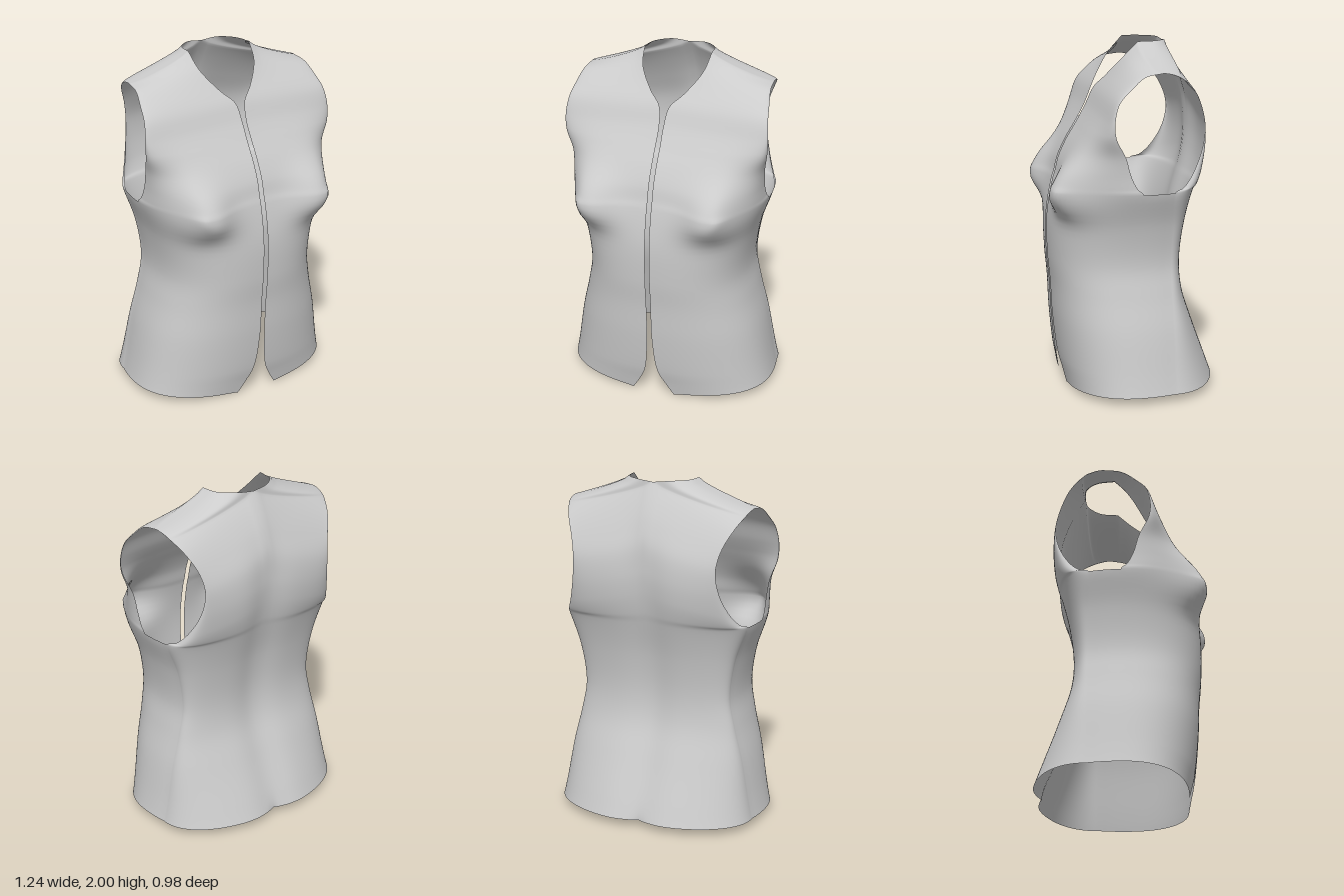
import * as THREE from 'three';
import { mergeVertices } from 'three/addons/utils/BufferGeometryUtils.js';

const { lerp, smoothstep } = THREE.MathUtils;
const STEPS = 6;    // samples between profile points
const ACROSS = 36;  // samples from centre edge to side

// Waist profile: height, half width, front depth, back depth
const body = [
  [.05, .622, .37, -.5], [.09, .613, .385, -.485], [.17, .597, .405, -.455], [.4, .555, .43, -.365],
  [.6, .505, .44, -.295], [.77, .475, .455, -.278], [1, .505, .455, -.303], [1.2, .57, .42, -.352],
];
// The front corners of the hem dip and curve away from the opening
const openingLine = body.map(([y, , front]) => [
  .013 + .115 * Math.exp((.05 - y) / .08), y - .045 * Math.exp((.05 - y) / .03), front,
]);
const frontSeam = body.map(([y, w]) => [w, y, 0]);
const backSeam = body.map(([y, w]) => [w - .022, y, -.17]);
const spineLine = body.map(([y, , , back]) => [0, y, back]);

// Upper edges of the front: opening with neckline, and front of the armhole
const neckFront = [
  [.013, 1.25, .405], [.013, 1.33, .385], [.013, 1.43, .34], [.013, 1.53, .28], [.013, 1.63, .225],
  [.03, 1.73, .18], [.1, 1.8, .13], [.18, 1.91, .045], [.2, 2, -.04],
];
const armholeFront = [
  [.568, 1.235, .035], [.566, 1.31, .075], [.573, 1.41, .11], [.6, 1.52, .17], [.605, 1.61, .178],
  [.593, 1.71, .15], [.577, 1.78, .08], [.56, 1.84, .005], [.55, 1.86, -.1],
];
// Upper edges of the back: spine, back of the neck, and back of the armhole
const spineUpper = [
  [0, 1.27, -.37], [0, 1.4, -.392], [0, 1.53, -.4], [0, 1.66, -.385], [0, 1.78, -.34], [0, 1.9, -.28], [0, 1.99, -.23],
];
const neckBack = [[0, 1.99, -.23], [.1, 2, -.217], [.18, 2, -.145], [.2, 2, -.04]];
const armholeBack = [
  [.525, 1.225, -.225], [.488, 1.29, -.285], [.445, 1.42, -.35], [.43, 1.55, -.37], [.45, 1.66, -.345],
  [.5, 1.77, -.28], [.535, 1.83, -.2], [.542, 1.845, -.165], [.548, 1.856, -.13], [.55, 1.86, -.1],
];

// Sample smooth lines joined end to end; their meeting points stay sharp corners
function edge(...lines) {
  return lines.flatMap((line, k) => {
    const curve = new THREE.CatmullRomCurve3(line.map((p) => new THREE.Vector3(...p)));
    return curve.getPoints((line.length - 1) * STEPS).slice(k > 0 ? 1 : 0);
  });
}

// One rounded cross-section per height, from the centre edge to the side edge,
// rounder at the hem and squarer at the chest
function panel(inner, outer, hemPower, shape) {
  return inner.map((a, row) => {
    const b = outer[row];
    const power = lerp(hemPower, .77, smoothstep(b.y, .05, 1.2));
    const points = [];
    for (let i = 0; i <= ACROSS; i++) {
      const angle = (i / ACROSS) * Math.PI / 2;
      const s = Math.sin(angle) ** power;
      const c = i === ACROSS ? 0 : Math.cos(angle) ** power;
      const p = new THREE.Vector3(lerp(a.x, b.x, s), lerp(a.y, b.y, s ** .75), lerp(b.z, a.z, c));
      shape(p);
      points.push(p);
    }
    return points;
  });
}

// Bust with a long slope above, a round underside and a small tip
function shapeBust(p) {
  const dx = p.x - .39, dy = p.y - 1.19;
  const across = (dx / (dx < 0 ? .17 : .115)) ** 2;
  const along = dy > 0 ? (dy / .18) ** 2 : Math.abs(dy / .135) ** 2.6;
  p.z += .125 * Math.exp(-across - along);
  p.z += .015 * Math.exp(-((p.x - .42) ** 2 + dy * dy) / .0012);
}

// Soft hollow along the spine, fading out below the neck, with a notch at the hem
function shapeSpine(p) {
  const fade = 1 - smoothstep(p.y, 1.5, 1.9);
  p.z += .03 * fade * Math.exp(-((p.x / .12) ** 2));
  p.z += .018 * Math.exp(-p.x / .03 - (p.y - .05) / .04);
}

function createShell() {
  const front = panel(edge([...openingLine, ...neckFront]),
    edge([...frontSeam, ...armholeFront]), .85, shapeBust);
  const back = panel(edge([...spineLine, ...spineUpper], neckBack),
    edge([...backSeam, ...armholeBack]), .95, shapeSpine).map((row) => row.reverse());

  // Strip under the arm joins the front and back up to the bottom of the armhole
  const side = front.slice(0, (body.length - 1) * STEPS + 1).map((row, j) => {
    const a = row.at(-1), b = back[j][0];
    return [0, .25, .5, .75, 1].map((t) => {
      const p = a.clone().lerp(b, t);
      p.x += .02 * t * (1 - t);
      return p;
    });
  });

  const positions = [], indices = [];
  for (const rows of [front, side, back]) {
    for (const mirror of [1, -1]) {
      const start = positions.length / 3, n = rows[0].length;
      rows.flat().forEach((p) => positions.push(mirror * p.x, p.y, p.z));
      for (let j = 0; j < rows.length - 1; j++) {
        for (let i = 0; i < n - 1; i++) {
          const a = start + j * n + i, b = a + 1, d = a + n, c = d + 1;
          if (mirror > 0) indices.push(a, b, c, a, c, d);
          else indices.push(a, c, b, a, d, c);
        }
      }
    }
  }
  const geometry = new THREE.BufferGeometry();
  geometry.setAttribute('position', new THREE.Float32BufferAttribute(positions, 3));
  geometry.setIndex(indices);
  // Joining the panels makes the seams smooth
  const shell = mergeVertices(geometry, 1e-4);
  shell.computeVertexNormals();
  return shell;
}

export function createModel() {
  const group = new THREE.Group();
  group.name = 'sleevelessVest';
  const material = new THREE.MeshStandardMaterial({ color: 0xcccccc, side: THREE.DoubleSide });
  const vest = new THREE.Mesh(createShell(), material);
  vest.name = 'vestShell';
  group.add(vest);
  return group;
}
